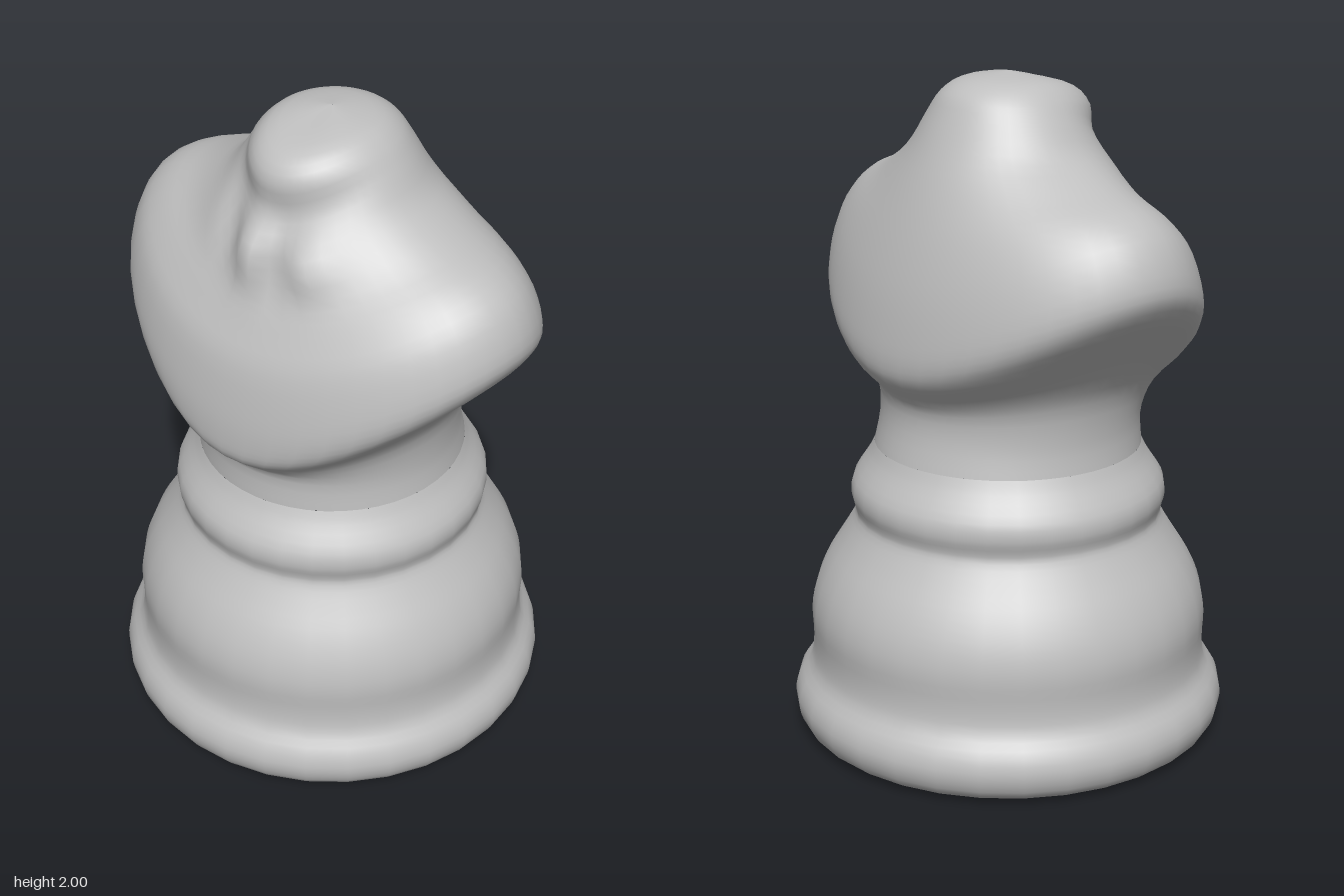
import * as THREE from 'three';

const SIDES = 48, ROWS = 44;
const curve = (pts) => new THREE.SplineCurve(pts.map(([r, y]) => new THREE.Vector2(r, y)));

// Matching bust profiles [radius, height], waist to crown
const side = curve([[.40, .90], [.392, 1.0], [.42, 1.14], [.55, 1.30], [.645, 1.41], [.67, 1.49], [.63, 1.60],
  [.55, 1.67], [.42, 1.72], [.30, 1.79], [.235, 1.88], [.19, 1.94], [.13, 1.98], [.001, 2.0]]);
const front = curve([[.40, .90], [.40, 1.0], [.44, 1.04], [.475, 1.08], [.48, 1.14], [.47, 1.24], [.44, 1.38],
  [.39, 1.48], [.345, 1.57], [.31, 1.69], [.255, 1.78], [.26, 1.88], [.19, 1.95], [.001, 2.0]]);
const back = curve([[.40, .90], [.375, 1.0], [.38, 1.08], [.44, 1.15], [.455, 1.21], [.445, 1.30], [.42, 1.42],
  [.38, 1.55], [.33, 1.68], [.28, 1.79], [.23, 1.89], [.19, 1.95], [.12, 1.985], [.001, 2.0]]);

// Worn facial relief: [x, y, width, height, depth]
const relief = [
  [-.02, 1.68, .05, .10, .035],  // nose ridge
  [.16, 1.67, .07, .07, .03],    // cheek
  [-.13, 1.70, .05, .08, -.03],  // hollow
  [.07, 1.65, .04, .08, -.025],  // hollow
];

function bustGeometry() {
  const pos = [], index = [];
  for (let j = 0; j <= ROWS; j++) {
    const s = side.getPoint(j / ROWS), f = front.getPoint(j / ROWS), b = back.getPoint(j / ROWS);
    for (let i = 0; i < SIDES; i++) {
      const a = (i / SIDES) * Math.PI * 2, sn = Math.sin(a), cs = Math.cos(a);
      const fb = cs >= 0 ? f : b;
      const x = s.x * sn;
      const y = THREE.MathUtils.lerp(fb.y, s.y, sn * sn);
      let z = fb.x * cs;
      if (cs > 0) for (const [cx, cy, w, h, d] of relief)
        z += d * Math.exp(-(((x - cx) / w) ** 2) - ((y - cy) / h) ** 2);
      pos.push(x, y, z);
      if (j < ROWS) {
        const n = (i + 1) % SIDES, p = j * SIDES + i, q = j * SIDES + n;
        index.push(p, q, p + SIDES, q, q + SIDES, p + SIDES);
      }
    }
  }
  const g = new THREE.BufferGeometry();
  g.setAttribute('position', new THREE.Float32BufferAttribute(pos, 3));
  g.setIndex(index);
  g.computeVertexNormals();
  return g;
}

export function createModel() {
  const group = new THREE.Group();
  const stone = new THREE.MeshStandardMaterial({ color: 0xbfbfbf });
  stone.name = 'greyStone';
  const add = (name, geometry) => {
    const mesh = new THREE.Mesh(geometry, stone);
    mesh.name = name;
    group.add(mesh);
    return mesh;
  };

  // Turned pedestal with a foot ring and collar
  const profile = curve([[.585, 0], [.635, .03], [.657, .09], [.645, .15], [.607, .21], [.597, .28], [.6, .37],
    [.585, .45], [.55, .53], [.50, .61], [.465, .67], [.463, .70], [.473, .74], [.465, .79], [.42, .86], [.40, .90]]);
  add('pedestal', new THREE.LatheGeometry(profile.getPoints(45), 32));

  // Flat underside
  add('underside', new THREE.CircleGeometry(.585, 32)).rotation.x = Math.PI / 2;

  // Waist, shoulders and head in one smooth loft
  add('bust', bustGeometry());
  return group;
}
